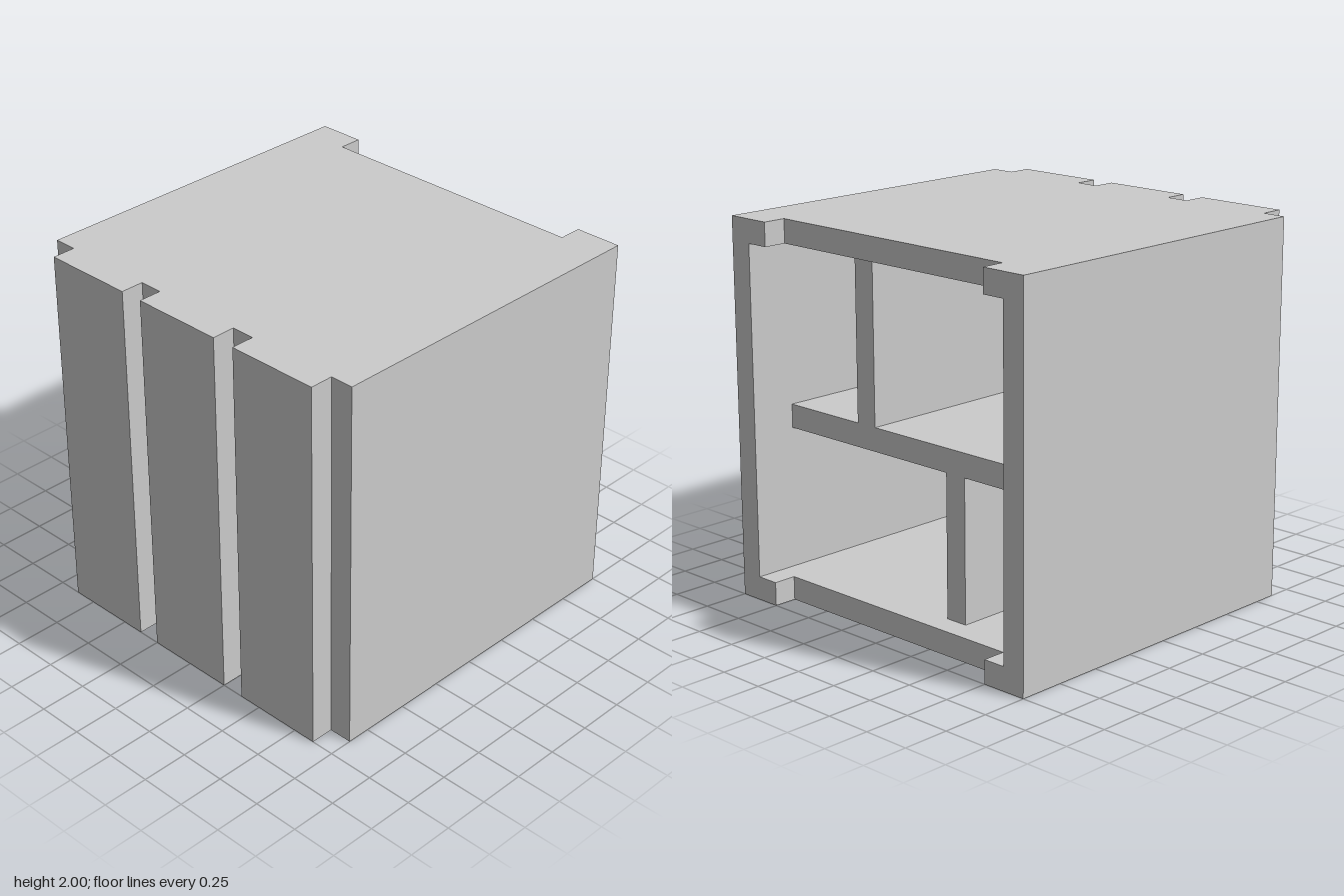
import * as THREE from 'three';

const T = 0.125; // board thickness
const material = new THREE.MeshStandardMaterial({ color: 0xcccccc, flatShading: true });

export function createModel() {
  const model = new THREE.Group();
  model.name = 'slattedCabinet';

  const add = (name, geometry) => {
    const mesh = new THREE.Mesh(geometry, material);
    mesh.name = name;
    model.add(mesh);
    return mesh;
  };

  // Box given by its min and max along each axis
  const board = (name, [x0, x1], [y0, y1], [z0, z1]) =>
    add(name, new THREE.BoxGeometry(x1 - x0, y1 - y0, z1 - z0))
      .position.set((x0 + x1) / 2, (y0 + y1) / 2, (z0 + z1) / 2);

  // Top and bottom panels, with a wide notch along the back edge
  const outline = new THREE.Shape([
    [-1, 1 - T], [-1, -1], [-0.75, -1], [-0.75, T - 1],
    [0.75, T - 1], [0.75, -1], [1, -1], [1, 1 - T],
  ].map(([x, z]) => new THREE.Vector2(x, z)));
  for (const [name, top] of [['topPanel', 2], ['bottomPanel', T]]) {
    const panel = new THREE.ExtrudeGeometry(outline, { depth: T, bevelEnabled: false });
    panel.rotateX(Math.PI / 2);
    add(name, panel).position.y = top;
  }

  // Side walls
  board('leftWall', [1 - T, 1], [T, 2 - T], [-1, 1 - T]);
  board('rightWall', [-1, T - 1], [T, 2 - T], [-1, 1 - T]);

  // Shelf and staggered dividers, set in from the back
  const inner = [-0.75, 1 - T];
  board('shelf', [T - 1, 1 - T], [1 - T, 1], inner);
  board('upperDivider', [0.25, 0.375], [1, 2 - T], inner);
  board('lowerDivider', [-0.375, -0.25], [T, 1 - T], inner);

  // Vertical front slats
  for (const [name, x] of [['rightSlat', -0.625], ['middleSlat', 0], ['leftSlat', 0.625]]) {
    board(name, [x - 0.25, x + 0.25], [0, 2], [1 - T, 1]);
  }

  return model;
}
